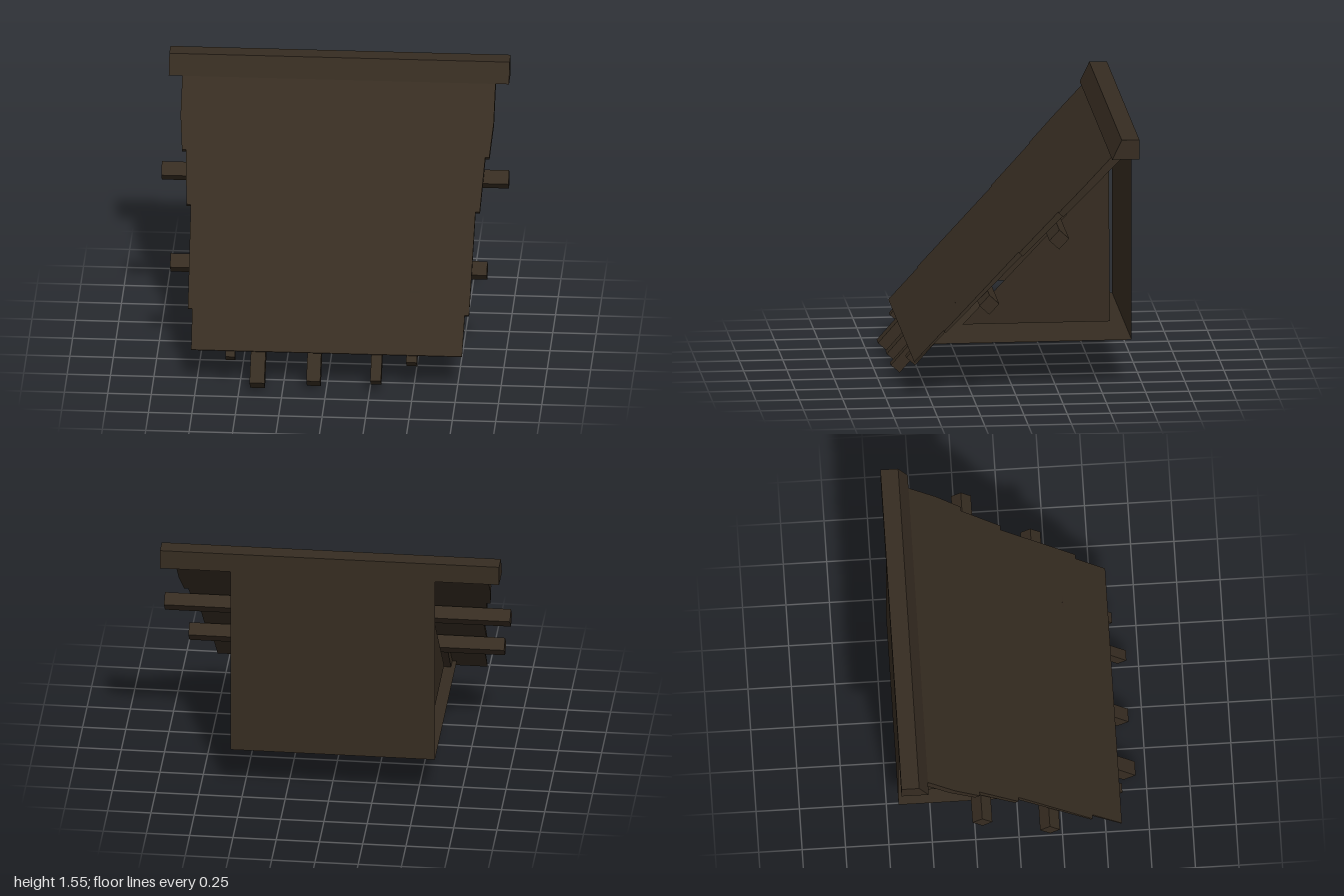
import * as THREE from 'three';

const wood = new THREE.MeshStandardMaterial({ color: 0x362c21 });
wood.name = 'darkWood';
const woodSheet = new THREE.MeshStandardMaterial({ color: 0x362c21, side: THREE.DoubleSide });
woodSheet.name = 'darkWoodSheet';

const SLOPE = -0.7495; // tilt of the roof about x

function add(parent, name, geometry, material = wood) {
  const mesh = new THREE.Mesh(geometry, material);
  mesh.name = name;
  parent.add(mesh);
  return mesh;
}

function polygon(points) {
  return new THREE.Shape(points.map(([x, y]) => new THREE.Vector2(x, y)));
}

export function createModel() {
  const model = new THREE.Group();
  model.name = 'leanToShelter';

  // Roof slab with stepped side edges, drawn flat then tilted
  const side = [
    [0.78, 0], [0.785, 0.25], [0.81, 0.25], [0.82, 0.88], [0.845, 0.88],
    [0.862, 1.21], [0.885, 1.21], [0.902, 1.42], [0.902, 1.69],
  ];
  const outline = [...side, ...side.map(([x, v]) => [-x, v]).reverse()];
  const roofGeo = new THREE.ExtrudeGeometry(polygon(outline), { depth: 1, bevelEnabled: false });
  // The slab thins towards the eave
  const p = roofGeo.attributes.position;
  for (let i = 0; i < p.count; i++) {
    p.setZ(i, (p.getZ(i) - 1) * (0.008 + 0.024 * p.getY(i)));
  }
  roofGeo.computeVertexNormals();
  const roof = add(model, 'roof', roofGeo);
  roof.rotation.x = SLOPE;
  roof.position.set(0, 0.217, 0.59);

  // Ridge beam with a slanted front, section given as (-z, y)
  const beamGeo = new THREE.ExtrudeGeometry(
    polygon([[0.692, 1.432], [0.692, 1.547], [0.59, 1.547], [0.535, 1.432]]),
    { depth: 1.96, bevelEnabled: false });
  beamGeo.translate(0, 0, -0.98);
  beamGeo.rotateY(Math.PI / 2);
  add(model, 'ridgeBeam', beamGeo);

  // Cross poles under the roof: x from, x to, y, z
  for (const [x0, x1, y, z] of [[-1, 1, 0.972, -0.227], [-0.925, 0.9, 0.572, 0.167]]) {
    const pole = add(model, 'crossPole', new THREE.BoxGeometry(x1 - x0, 0.085, 0.077));
    pole.position.set((x0 + x1) / 2, y, z);
    pole.rotation.x = SLOPE;
  }

  // Rafter ends below the eave: x, width, lowest y, foremost z, length
  const rafters = [
    [-0.555, 0.055, 0.145, 0.605, 0.43], [-0.395, 0.085, 0, 0.69, 0.54],
    [-0.072, 0.08, 0.015, 0.67, 0.53], [0.288, 0.062, 0.045, 0.68, 0.5],
    [0.49, 0.062, 0.135, 0.61, 0.43],
  ];
  for (const [x, w, y, z, length] of rafters) {
    const geo = new THREE.BoxGeometry(w, length, w * 1.1);
    geo.translate(0, length / 2, 0);
    const rafter = add(model, 'rafter', geo);
    rafter.rotation.x = -0.725;
    rafter.position.set(x, y + 0.365 * w, z - 0.41 * w);
  }

  // Back wall and floor sheets, set a little to the right
  const wall = add(model, 'backWall', new THREE.PlaneGeometry(1.18, 1.17), woodSheet);
  wall.position.set(-0.018, 0.27 + 0.585, -0.686);
  const floor = add(model, 'floor', new THREE.PlaneGeometry(1.18, 1.21), woodSheet);
  floor.rotation.x = -Math.PI / 2;
  floor.position.set(-0.018, 0.27, -0.081);

  // Triangular side panels, section given as (-z, y)
  for (const x of [-0.56, 0.51]) {
    const geo = new THREE.ShapeGeometry(polygon([[-0.285, 0.367], [0.567, 0.367], [0.56, 1.262]]));
    geo.rotateY(Math.PI / 2);
    add(model, 'sidePanel', geo, woodSheet).position.x = x;
  }

  return model;
}
